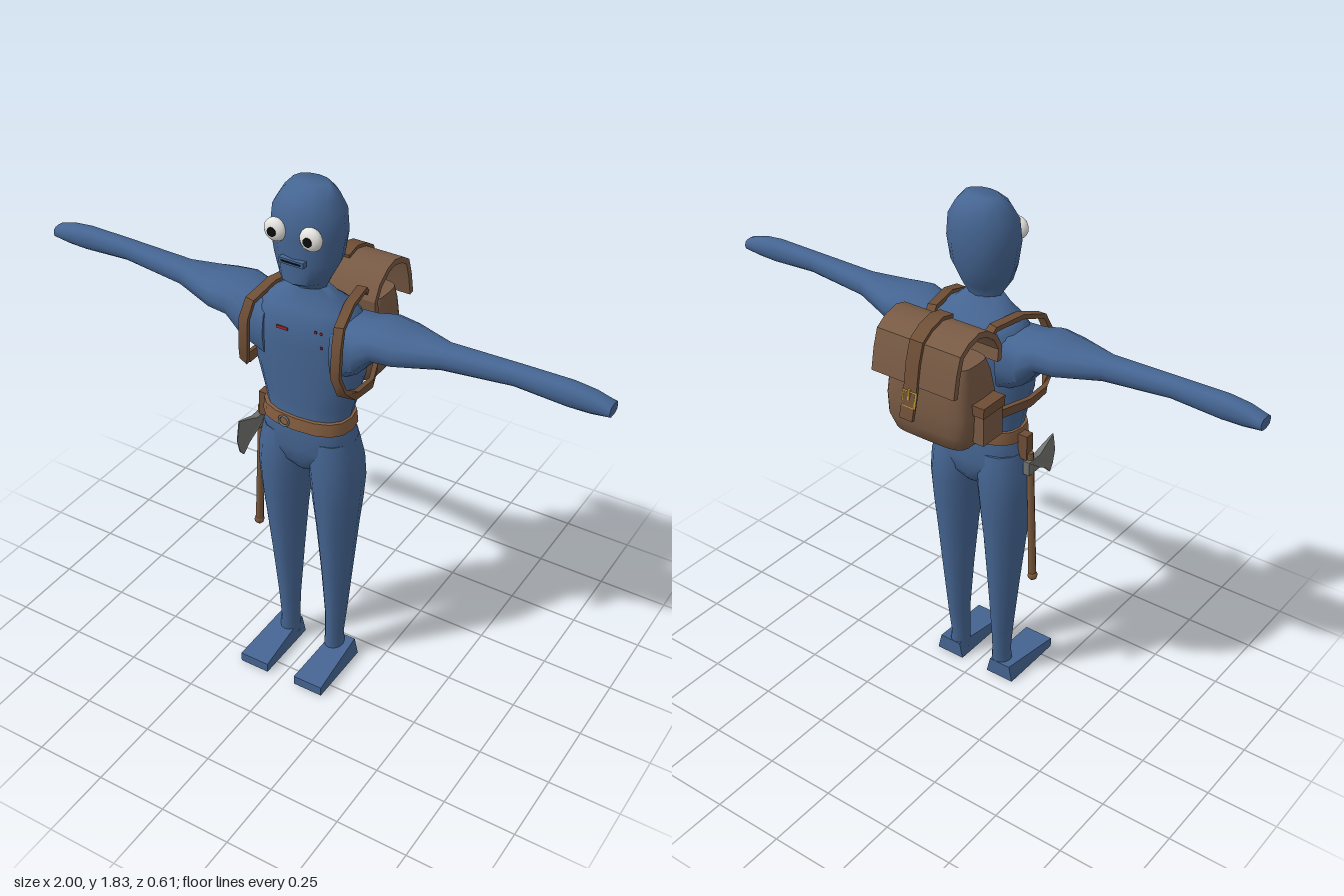
import * as THREE from 'three';
import { toCreasedNormals } from 'three/addons/utils/BufferGeometryUtils.js';

const mat = (name, color) => {
  const m = new THREE.MeshStandardMaterial({ color });
  m.name = name;
  return m;
};

// Closed skin over rings of points, all wound the same way
function skin(rings, crease) {
  const n = rings[0].length, pos = rings.flat(2), idx = [];
  for (let i = 0; i < rings.length - 1; i++) {
    for (let j = 0; j < n; j++) {
      const a = i * n + j, b = i * n + (j + 1) % n;
      idx.push(a, a + n, b, b, a + n, b + n);
    }
  }
  const last = (rings.length - 1) * n;
  for (let j = 1; j < n - 1; j++) {
    idx.push(0, j, j + 1, last, last + j + 1, last + j);
  }
  const g = new THREE.BufferGeometry();
  g.setAttribute('position', new THREE.Float32BufferAttribute(pos, 3));
  g.setIndex(idx);
  return toCreasedNormals(g, crease);
}

// Rings are [p, cu, cv, ru, rv]: along y (u = x, v = z) or along x (u = z, v = y)
function loft(rings, { axis = 'y', sides = 12, power = 1, crease = 0.9 } = {}) {
  const sq = (t) => Math.sign(t) * Math.pow(Math.abs(t) < 1e-6 ? 0 : Math.abs(t), power);
  return skin(rings.map(([p, cu, cv, ru, rv]) =>
    Array.from({ length: sides }, (_, j) => {
      const a = (j / sides) * Math.PI * 2;
      const u = cu + ru * sq(Math.cos(a)), v = cv + rv * sq(Math.sin(a));
      return axis === 'y' ? [u, p, v] : [p, v, u];
    })), crease);
}

// Flat band along points [x, y, z, turn]; turn tilts its width from x towards y
function ribbon(points, width, thick) {
  const V = points.map((p) => new THREE.Vector3(p[0], p[1], p[2]));
  return skin(V.map((p, i) => {
    const T = V[Math.min(i + 1, V.length - 1)].clone().sub(V[Math.max(i - 1, 0)]).normalize();
    const a = points[i][3] || 0;
    const W = new THREE.Vector3(Math.cos(a), Math.sin(a), 0);
    W.addScaledVector(T, -W.dot(T)).normalize();
    const N = T.clone().cross(W);
    return [[1, 1], [1, -1], [-1, -1], [-1, 1]].map(([w, t]) =>
      p.clone().addScaledVector(W, w * width / 2).addScaledVector(N, t * thick / 2).toArray());
  }), 0.6);
}

export function createModel() {
  const root = new THREE.Group();
  const skinBlue = mat('blue body', 0x456592);
  const leather = mat('pack leather', 0x785a44);
  const strapBrown = mat('strap leather', 0x6e4e36);
  const beltBrown = mat('belt leather', 0x855e40);
  const wood = mat('axe wood', 0x7a583c);
  const steel = mat('steel', 0x70726f);
  const brass = mat('brass', 0xc9a23c);
  const white = mat('eye white', 0xe6e4e0);
  const black = mat('pupil black', 0x0c0c0c);
  const red = mat('red mark', 0xa02828);

  const add = (name, geo, material, x = 0, y = 0, z = 0) => {
    const m = new THREE.Mesh(geo, material);
    m.name = name;
    m.position.set(x, y, z);
    root.add(m);
    return m;
  };
  const box = (name, w, h, d, material, x, y, z) =>
    add(name, new THREE.BoxGeometry(w, h, d), material, x, y, z);

  // Torso, neck and head
  add('torso', loft([
    [0.82, 0, 0.095, 0.04, 0.06], [0.86, 0, 0.095, 0.11, 0.09], [0.92, 0, 0.097, 0.175, 0.099],
    [1.0, 0, 0.102, 0.155, 0.095], [1.04, 0, 0.102, 0.145, 0.09], [1.1, 0, 0.1, 0.16, 0.092],
    [1.2, 0, 0.097, 0.188, 0.1], [1.32, 0, 0.092, 0.19, 0.107], [1.4, 0, 0.09, 0.175, 0.106],
    [1.435, 0, 0.092, 0.15, 0.085], [1.465, 0, 0.1, 0.1, 0.06], [1.5, 0, 0.105, 0.06, 0.044],
  ], { power: 0.85, sides: 16 }), skinBlue);
  add('head', loft([
    [1.46, 0, 0.105, 0.07, 0.045], [1.5, 0, 0.105, 0.062, 0.046], [1.535, 0, 0.118, 0.082, 0.082],
    [1.6, 0, 0.102, 0.112, 0.093], [1.68, 0, 0.1, 0.125, 0.1], [1.755, 0, 0.097, 0.117, 0.097],
    [1.8, 0, 0.093, 0.09, 0.076], [1.83, 0, 0.088, 0.062, 0.043],
  ]), skinBlue);
  box('mouth', 0.085, 0.018, 0.02, skinBlue, 0, 1.61, 0.196);
  box('mouthLine', 0.07, 0.005, 0.004, black, 0, 1.61, 0.206);

  const arm = [
    [0.12, 0.092, 1.31, 0.1, 0.11], [0.2, 0.092, 1.334, 0.105, 0.086],
    [0.26, 0.092, 1.375, 0.103, 0.058], [0.33, 0.092, 1.374, 0.098, 0.05],
    [0.47, 0.095, 1.383, 0.046, 0.038], [0.7, 0.093, 1.397, 0.033, 0.032],
    [0.87, 0.093, 1.393, 0.034, 0.038], [0.94, 0.093, 1.39, 0.033, 0.033],
    [1.0, 0.092, 1.385, 0.03, 0.02],
  ];
  const leg = [
    [0.03, 0.093, 0.1, 0.037, 0.04], [0.1, 0.091, 0.1, 0.031, 0.039],
    [0.2, 0.095, 0.096, 0.036, 0.046], [0.4, 0.098, 0.095, 0.052, 0.064],
    [0.6, 0.1, 0.096, 0.07, 0.083], [0.7, 0.1, 0.096, 0.082, 0.093],
    [0.8, 0.099, 0.095, 0.091, 0.1], [0.88, 0.092, 0.095, 0.092, 0.1],
    [0.96, 0.085, 0.097, 0.08, 0.09],
  ];

  for (const s of [1, -1]) {
    const side = s > 0 ? 'left' : 'right';
    // Limbs
    const armRings = arm.map(([p, ...r]) => [s * p, ...r]);
    if (s < 0) armRings.reverse();
    add(side + 'Arm', loft(armRings, { axis: 'x', power: 0.75 }), skinBlue);
    add(side + 'Leg', loft(leg.map(([p, cx, ...r]) => [p, s * cx, ...r])), skinBlue);

    // Wedge foot: low at the toe, narrow at the ankle
    const foot = new THREE.BoxGeometry(0.11, 0.06, 0.25);
    const p = foot.attributes.position;
    for (let i = 0; i < p.count; i++) {
      if (p.getY(i) < 0) continue;
      if (p.getZ(i) > 0) p.setY(i, 0.005);
      else p.setX(i, p.getX(i) * 0.75);
    }
    foot.computeVertexNormals();
    add(side + 'Foot', foot, skinBlue, s * 0.11, 0.03, 0.185);

    // Eyes
    const eye = add(side + 'Eye', new THREE.SphereGeometry(0.038, 20, 14), white, s * 0.062, 1.698, 0.19);
    eye.scale.z = 0.6;
    add(side + 'Pupil', new THREE.CylinderGeometry(0.015, 0.015, 0.004, 16).rotateX(Math.PI / 2),
      black, s * 0.062, 1.698, 0.212);

    // Shoulder strap over the chest and back under the arm
    add(side + 'ShoulderStrap', ribbon([
      [s * 0.11, 1.42, -0.04], [s * 0.118, 1.452, -0.01], [s * 0.14, 1.455, 0.1],
      [s * 0.16, 1.425, 0.19], [s * 0.167, 1.37, 0.215], [s * 0.167, 1.27, 0.222],
      [s * 0.178, 1.21, 0.205, s * 0.6], [s * 0.2, 1.185, 0.16, s * 1.4],
      [s * 0.203, 1.18, 0.07, s * 1.5], [s * 0.16, 1.17, -0.03, s * 1.5],
    ], 0.032, 0.016), strapBrown);
  }

  // Belt
  add('belt', loft([[1.005, 0, 0.103, 0.16, 0.103], [1.05, 0, 0.103, 0.156, 0.1]],
    { power: 0.8, sides: 16 }), beltBrown);
  add('beltBuckle', new THREE.TorusGeometry(0.018, 0.004, 6, 12), steel, -0.035, 1.028, 0.207);

  // Chest marks
  box('chestMark', 0.04, 0.01, 0.004, red, -0.04, 1.37, 0.199);
  for (const [x, y] of [[0.08, 1.39], [0.1, 1.39], [0.1, 1.34]]) {
    box('chestDot', 0.008, 0.008, 0.004, red, x, y, 0.197);
  }

  // Backpack
  add('backpack', loft([
    [1.08, 0, -0.115, 0.115, 0.06], [1.1, 0, -0.115, 0.14, 0.09], [1.15, 0, -0.116, 0.162, 0.104],
    [1.22, 0, -0.118, 0.165, 0.104], [1.34, 0, -0.125, 0.153, 0.086], [1.385, 0, -0.13, 0.145, 0.07],
  ], { power: 0.4, sides: 24, crease: 0.7 }), leather);
  const arc = [[1.36, -0.035], [1.405, -0.03], [1.45, -0.055], [1.482, -0.1], [1.492, -0.14],
    [1.478, -0.19], [1.455, -0.225], [1.4, -0.243], [1.325, -0.257]];
  add('packFlap', ribbon(arc.map(([y, z]) => [0, y, z]), 0.318, 0.02), leather);
  add('flapStrap', ribbon([[0, 1.497, -0.09], [0, 1.508, -0.14], [0, 1.492, -0.195],
    [0, 1.465, -0.237], [0, 1.4, -0.257], [0, 1.32, -0.27], [0, 1.22, -0.296]], 0.05, 0.012), strapBrown);
  const buckle = new THREE.TorusGeometry(0.034, 0.006, 4, 4).rotateZ(Math.PI / 4);
  add('packBuckle', buckle, brass, 0, 1.285, -0.282).rotation.x = 0.2;
  box('buckleTongue', 0.008, 0.065, 0.02, brass, 0, 1.285, -0.276);

  // Side pouch with its own lid
  box('sidePouch', 0.04, 0.12, 0.1, leather, -0.178, 1.19, -0.118);
  box('pouchLid', 0.045, 0.035, 0.112, strapBrown, -0.18, 1.25, -0.118);

  // Hatchet hung from the belt
  const handle = add('axeHandle', new THREE.CylinderGeometry(0.012, 0.014, 0.5, 8), wood, -0.203, 0.72, 0.1);
  handle.rotation.z = -0.045;
  add('axeHandleKnob', new THREE.SphereGeometry(0.018, 8, 6), wood, -0.215, 0.48, 0.1);
  const blade = new THREE.Shape([[0.075, 0.945], [0.14, 0.945], [0.19, 0.965], [0.228, 0.978],
    [0.243, 0.91], [0.23, 0.86], [0.212, 0.838], [0.18, 0.87], [0.14, 0.895], [0.075, 0.895]]
    .map(([z, y]) => new THREE.Vector2(-z, y)));
  const bladeGeo = new THREE.ExtrudeGeometry(blade, { depth: 0.024, bevelEnabled: false });
  // Thin the steel towards the cutting edge
  const bp = bladeGeo.attributes.position;
  for (let i = 0; i < bp.count; i++) {
    const k = THREE.MathUtils.clamp((0.25 + bp.getX(i)) / 0.12, 0.1, 1);
    bp.setZ(i, (bp.getZ(i) - 0.012) * k);
  }
  bladeGeo.rotateY(Math.PI / 2);
  bladeGeo.computeVertexNormals();
  add('axeHead', bladeGeo, steel, -0.194, 0, 0);
  box('axeLoop', 0.035, 0.09, 0.035, strapBrown, -0.172, 0.99, 0.1);

  return root;
}
